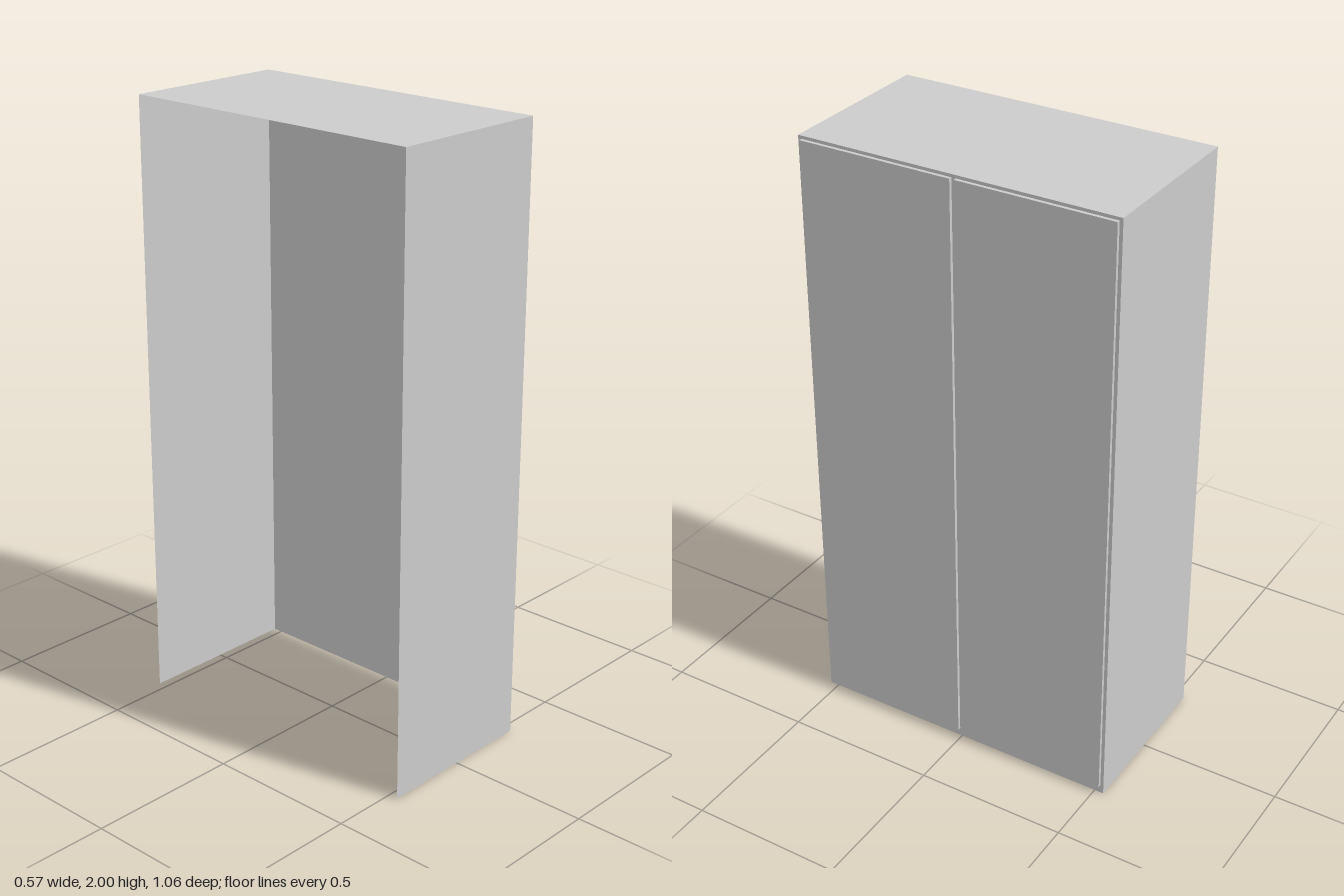
import * as THREE from 'three';

const BACK = -0.283, FACE = 0.272, HALF_W = 0.531, HEIGHT = 2;
const DOOR = { thickness: 0.011, bottom: 0.028, top: 1.99, inner: 0.007, outer: 0.52 };

export function createModel() {
  const wardrobe = new THREE.Group();
  wardrobe.name = 'wardrobe';
  const panelMaterial = new THREE.MeshStandardMaterial({ color: 0xcccccc, side: THREE.DoubleSide });
  const doorMaterial = new THREE.MeshStandardMaterial({ color: 0xcccccc });

  const add = (name, geometry, material, x, y, z) => {
    const mesh = new THREE.Mesh(geometry, material);
    mesh.name = name;
    mesh.position.set(x, y, z);
    wardrobe.add(mesh);
    return mesh;
  };

  // Thin-walled carcass, open at the back (-x) and underneath
  const depth = FACE - BACK, midX = (FACE + BACK) / 2;
  for (const side of [1, -1]) {
    const panel = add(side > 0 ? 'nearSidePanel' : 'farSidePanel',
      new THREE.PlaneGeometry(depth, HEIGHT), panelMaterial, midX, HEIGHT / 2, side * HALF_W);
    if (side < 0) panel.rotation.y = Math.PI;
  }
  add('topPanel', new THREE.PlaneGeometry(depth, HALF_W * 2), panelMaterial, midX, HEIGHT, 0)
    .rotation.x = -Math.PI / 2;
  add('facePanel', new THREE.PlaneGeometry(HALF_W * 2, HEIGHT), panelMaterial, FACE, HEIGHT / 2, 0)
    .rotation.y = Math.PI / 2;

  // Pair of flat doors with a narrow gap between them
  const doorHeight = DOOR.top - DOOR.bottom, doorWidth = DOOR.outer - DOOR.inner;
  for (const side of [1, -1]) {
    add(side > 0 ? 'nearDoor' : 'farDoor',
      new THREE.BoxGeometry(DOOR.thickness, doorHeight, doorWidth), doorMaterial,
      FACE + DOOR.thickness / 2, (DOOR.top + DOOR.bottom) / 2, side * (DOOR.inner + DOOR.outer) / 2);
  }
  return wardrobe;
}
